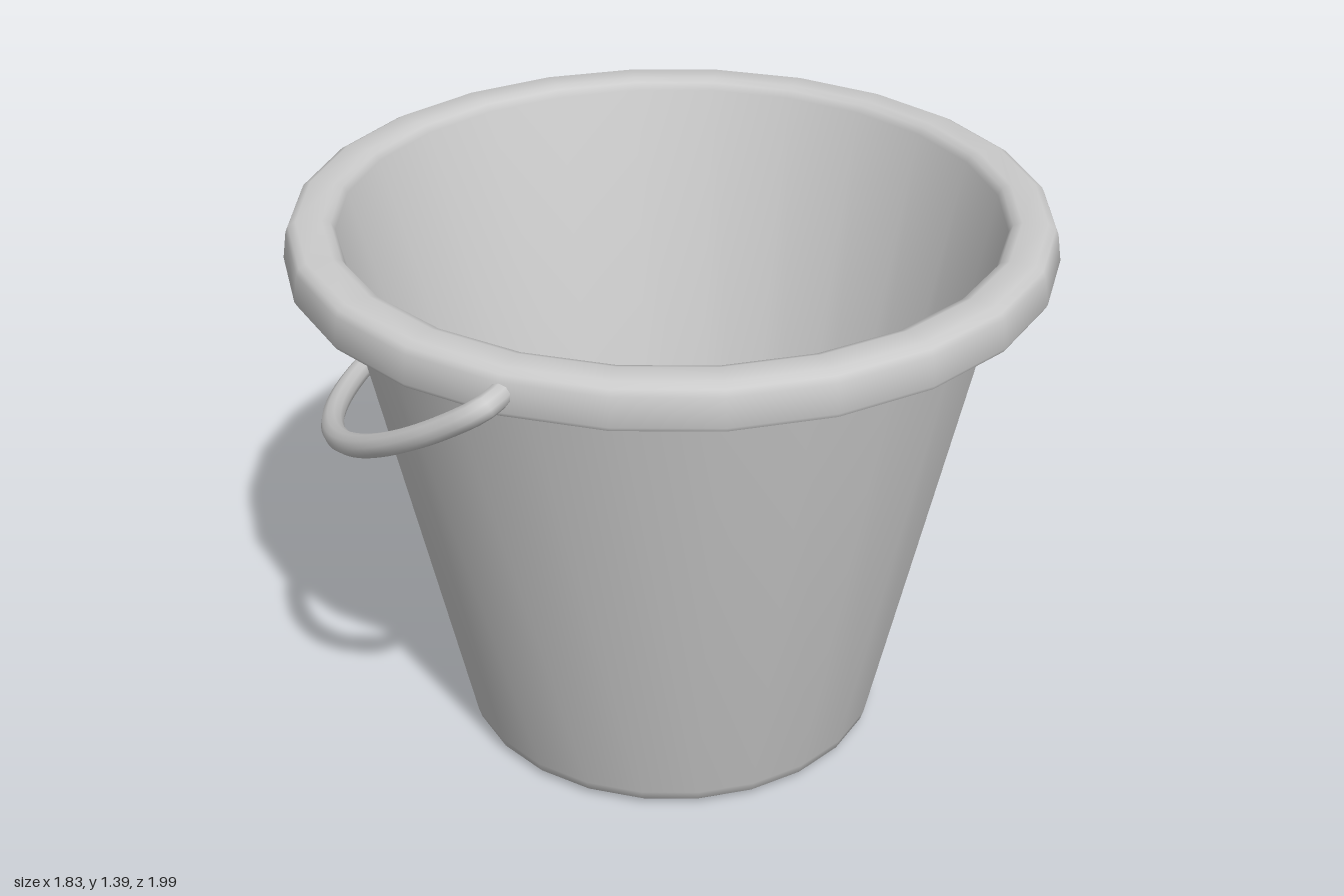
import * as THREE from 'three';
import { toCreasedNormals } from 'three/addons/utils/BufferGeometryUtils.js';

const material = new THREE.MeshStandardMaterial({ color: 0xcccccc });

// Tapered shell with a hollow, turned-down lip
function makeBucket() {
  const profile = [
    [0, 0], [0.49, 0], [0.515, 0.005], [0.532, 0.02], [0.54, 0.045], // base
    [0.8, 1.29], [0.814, 1.36],                                      // outer wall
    [0.878, 1.36], [0.888, 1.297],                                   // inside of lip
    [0.895, 1.29], [0.91, 1.29], [0.915, 1.3],                       // lip edge
    [0.905, 1.365], [0.898, 1.38], [0.88, 1.39],                     // outside of lip
    [0.82, 1.39], [0.8, 1.383], [0.79, 1.365],                       // rim top
    [0.508, 0.03], [0, 0.03],                                        // inner wall, floor
  ].map(([r, y]) => new THREE.Vector2(r, y));
  const geometry = toCreasedNormals(new THREE.LatheGeometry(profile, 24), 0.75);
  const bucket = new THREE.Mesh(geometry, material);
  bucket.name = 'bucket';
  return bucket;
}

// Hanging bail: half an ellipse with ends hooked into the lip
function makeHandle() {
  const pivotY = 1.335;
  const points = [];
  for (let i = 1; i < 20; i++) {
    const a = (i / 20) * Math.PI;
    const s = Math.sin(a);
    const sag = 0.08 * s * (1 - s);
    points.push(new THREE.Vector3(-0.77 * s, pivotY - 0.445 * s - sag, 0.973 * Math.cos(a)));
  }
  const hook = (side) => [
    new THREE.Vector3(0, pivotY, side * 0.89),
    new THREE.Vector3(0, pivotY, side * 0.935),
    new THREE.Vector3(-0.018, pivotY - 0.012, side * 0.962),
  ];
  const path = new THREE.CatmullRomCurve3([...hook(1), ...points, ...hook(-1).reverse()]);
  const handle = new THREE.Mesh(new THREE.TubeGeometry(path, 96, 0.027, 10), material);
  handle.name = 'handle';
  return handle;
}

export function createModel() {
  const group = new THREE.Group();
  group.name = 'pail';
  group.add(makeBucket(), makeHandle());
  return group;
}
